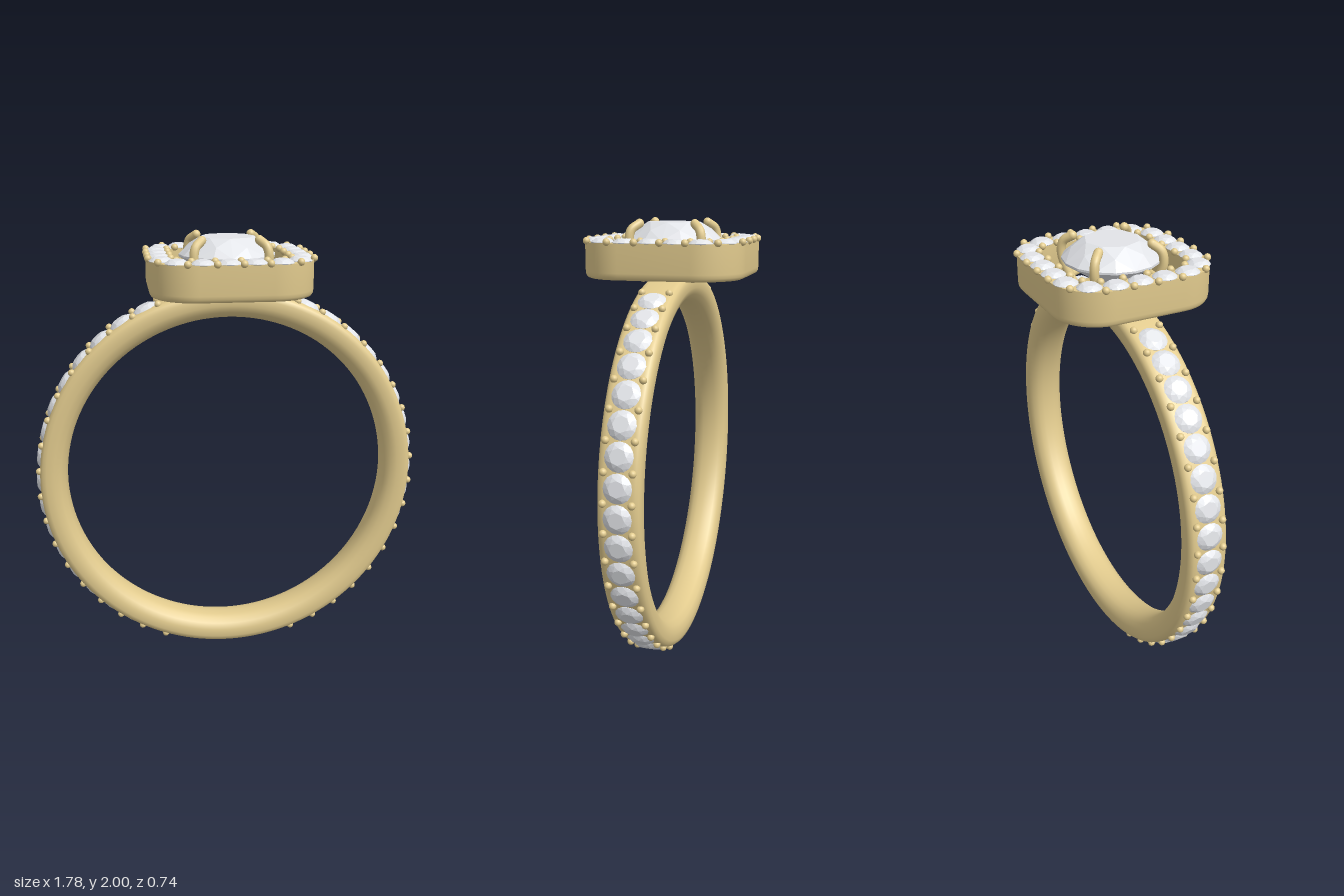
import * as THREE from 'three';
import { toCreasedNormals } from 'three/addons/utils/BufferGeometryUtils.js';
import { ConvexGeometry } from 'three/addons/geometries/ConvexGeometry.js';

const gold = new THREE.MeshStandardMaterial({ color: 0xe2cb8e });
const stone = new THREE.MeshStandardMaterial({ color: 0xe2e4e8 });
const RING_Y = 0.88;

function add(parent, name, geometry, material, x = 0, y = 0, z = 0) {
  const mesh = new THREE.Mesh(geometry, material);
  mesh.name = name;
  mesh.position.set(x, y, z);
  parent.add(mesh);
  return mesh;
}

// Round brilliant cut: table, star points, girdle and culet; girdle at y = 0
function brilliant(r, crown, pavilion) {
  const pts = [new THREE.Vector3(0, -pavilion, 0)];
  const ring = (n, radius, y, turn) => {
    for (let i = 0; i < n; i++) {
      const a = (i / n) * Math.PI * 2 + turn;
      pts.push(new THREE.Vector3(Math.cos(a) * radius, y, Math.sin(a) * radius));
    }
  };
  ring(8, r * 0.56, crown, 0);
  ring(8, r * 0.8, crown * 0.56, Math.PI / 8);
  ring(16, r, 0, 0);
  ring(16, r, -crown * 0.12, 0);
  return new ConvexGeometry(pts);
}

// Band: softened section turned about the finger axis
function buildBand() {
  const half = [[0.75, 0], [0.752, 0.03], [0.76, 0.055], [0.78, 0.078], [0.81, 0.09],
    [0.845, 0.09], [0.862, 0.085], [0.872, 0.073], [0.875, 0.058]];
  const profile = [
    ...half.map(([r, w]) => new THREE.Vector2(r, -w)),
    ...half.slice().reverse().map(([r, w]) => new THREE.Vector2(r, w)),
  ];
  const geo = new THREE.LatheGeometry(profile, 128);
  geo.rotateX(Math.PI / 2);
  return toCreasedNormals(geo, 0.6);
}

// Halo frame: section swept around a rounded square
const CORNER = 0.157, CORNER_R = 0.15;
function buildHaloFrame() {
  const section = [[0.028, 1.75], [0.04, 1.755], [0.046, 1.765], [0.048, 1.78], [0.048, 1.905],
    [-0.048, 1.905], [-0.048, 1.77], [-0.042, 1.755], [-0.03, 1.75]];
  const pos = [], index = [], steps = 16, m = section.length;
  for (let q = 0; q < 4; q++) {
    const mid = (q + 0.5) * Math.PI / 2;
    const cx = Math.sign(Math.cos(mid)) * CORNER, cz = Math.sign(Math.sin(mid)) * CORNER;
    for (let i = 0; i <= steps; i++) {
      const a = (q + i / steps) * Math.PI / 2;
      for (const [off, y] of section) {
        const r = CORNER_R + off;
        pos.push(cx + Math.cos(a) * r, y, cz + Math.sin(a) * r);
      }
    }
  }
  const n = 4 * (steps + 1);
  for (let i = 0; i < n; i++) {
    for (let j = 0; j < m; j++) {
      const a = i * m + j, b = i * m + (j + 1) % m;
      const c = ((i + 1) % n) * m + j, d = ((i + 1) % n) * m + (j + 1) % m;
      index.push(a, b, c, b, d, c);
    }
  }
  const geo = new THREE.BufferGeometry();
  geo.setAttribute('position', new THREE.Float32BufferAttribute(pos, 3));
  geo.setIndex(index);
  return toCreasedNormals(geo, 0.7);
}

// Centre line of the halo as (x, z)
function haloPath() {
  const path = new THREE.Path(), c = CORNER, q = Math.PI / 2;
  path.absarc(c, c, CORNER_R, 0, q);
  path.absarc(-c, c, CORNER_R, q, 2 * q);
  path.absarc(-c, -c, CORNER_R, 2 * q, 3 * q);
  path.absarc(c, -c, CORNER_R, 3 * q, 4 * q);
  path.closePath();
  return path;
}

export function createModel() {
  const model = new THREE.Group();
  model.name = 'ring';
  add(model, 'band', buildBand(), gold, 0, RING_Y, 0);

  // Stones and bead pairs down both sides of the band
  const bandStone = brilliant(0.061, 0.018, 0.04);
  const bead = new THREE.SphereGeometry(0.016, 14, 10);
  const step = THREE.MathUtils.degToRad(8.13);
  for (const side of [1, -1]) {
    const row = new THREE.Group();
    row.name = side > 0 ? 'leftBandStones' : 'rightBandStones';
    row.position.y = RING_Y;
    model.add(row);
    for (let k = -8; k <= 8; k++) {
      const a = k * step;
      const gem = add(row, 'bandStone', bandStone, stone,
        side * Math.cos(a) * 0.874, Math.sin(a) * 0.874, 0);
      gem.rotation.z = side * (a - Math.PI / 2);
    }
    for (let k = -8.5; k <= 8.5; k++) {
      const a = k * step;
      for (const z of [-0.06, 0.06]) {
        add(row, 'bandBead', bead, gold, side * Math.cos(a) * 0.878, Math.sin(a) * 0.878, z);
      }
    }
  }

  // Halo with its stones and bead pairs
  const halo = new THREE.Group();
  halo.name = 'halo';
  model.add(halo);
  add(halo, 'haloFrame', buildHaloFrame(), gold);
  const haloStone = brilliant(0.052, 0.016, 0.035);
  const path = haloPath(), length = path.getLength(), count = 20;
  const start = -CORNER + length / 80;
  const at = (k) => {
    const u = ((start + (k * length) / count) / length + 1) % 1;
    return { p: path.getPointAt(u), t: path.getTangentAt(u) };
  };
  for (let k = 0; k < count; k++) {
    const { p, t } = at(k);
    const gem = add(halo, 'haloStone', haloStone, stone, p.x, 1.907, p.y);
    gem.rotation.y = -Math.atan2(t.y, t.x);
    const gap = at(k + 0.5);
    for (const off of [-0.048, 0.048]) {
      add(halo, 'haloBead', bead, gold, gap.p.x + gap.t.y * off, 1.91, gap.p.y - gap.t.x * off);
    }
  }

  // Centre stone held by four claws and a rail
  const setting = new THREE.Group();
  setting.name = 'centreSetting';
  model.add(setting);
  add(setting, 'centreStone', brilliant(0.215, 0.075, 0.15), stone, 0, 1.91, 0);
  const line = [[0.16, 1.745], [0.2, 1.82], [0.228, 1.9], [0.218, 1.952], [0.176, 1.98]]
    .map(([r, y]) => new THREE.Vector3(r, y, 0));
  const clawGeo = new THREE.TubeGeometry(new THREE.CatmullRomCurve3(line), 28, 0.02, 12);
  const tip = new THREE.SphereGeometry(0.02, 14, 10);
  for (let i = 0; i < 4; i++) {
    const claw = new THREE.Group();
    claw.name = 'claw';
    claw.rotation.y = Math.PI / 4 + (i * Math.PI) / 2;
    setting.add(claw);
    add(claw, 'clawStem', clawGeo, gold);
    for (const end of [line[0], line[4]]) add(claw, 'clawEnd', tip, gold, end.x, end.y, 0);
  }
  const rail = add(setting, 'basketRail', new THREE.TorusGeometry(0.19, 0.016, 10, 64), gold, 0, 1.8, 0);
  rail.rotation.x = Math.PI / 2;
  return model;
}
